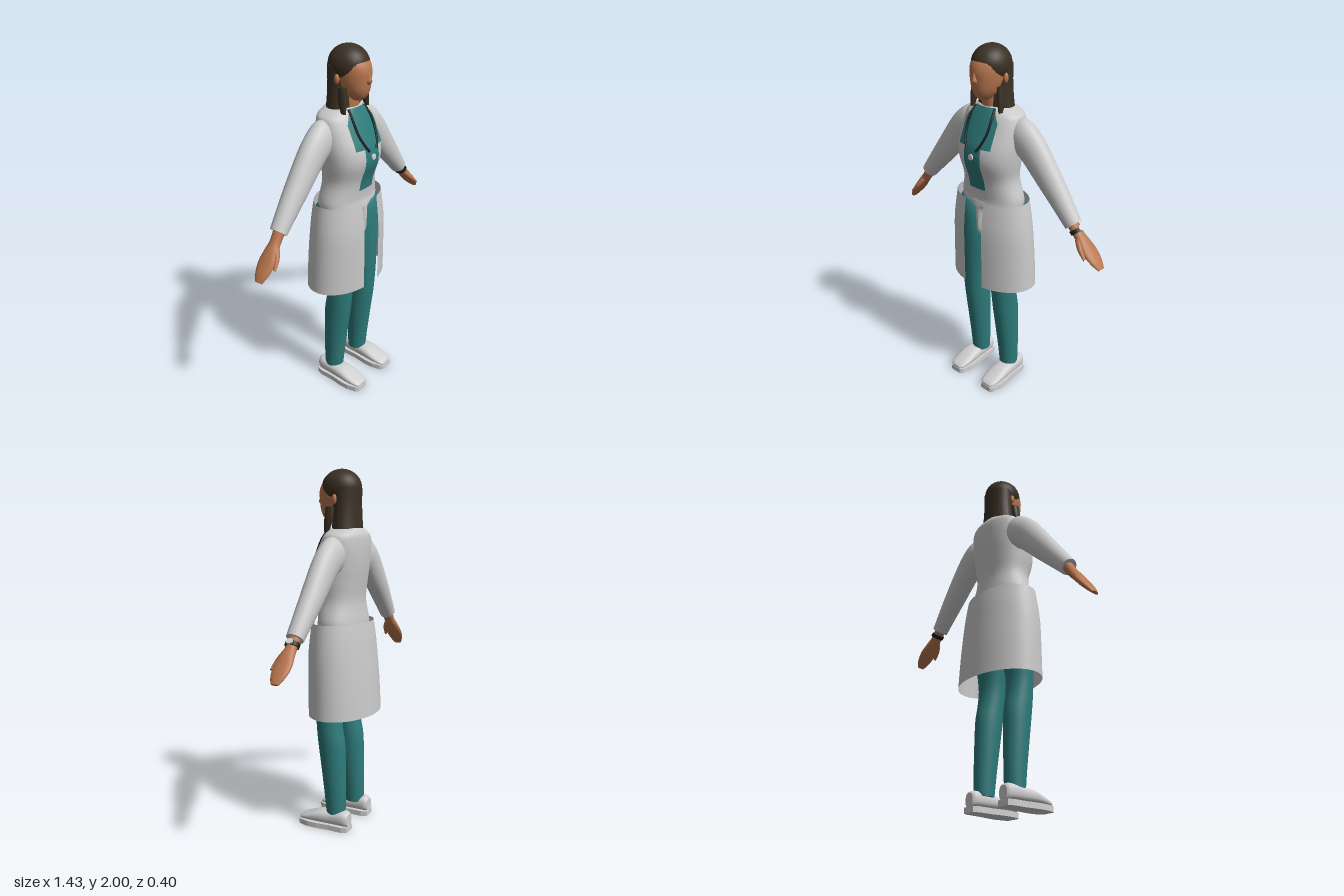
import * as THREE from 'three';

const V = (x, y, z) => new THREE.Vector3(x, y, z);
const mat = (name, color, side = THREE.FrontSide) => {
  const m = new THREE.MeshStandardMaterial({ color, side });
  m.name = name;
  return m;
};

// Catmull-Rom resampling of rows of numbers
function smooth(rows, n = 4) {
  const out = [];
  for (let i = 0; i < rows.length - 1; i++) {
    const [a, b, c, d] = [rows[Math.max(i - 1, 0)], rows[i], rows[i + 1], rows[Math.min(i + 2, rows.length - 1)]];
    for (let k = 0; k < n; k++) {
      const t = k / n;
      out.push(b.map((p, j) => {
        const cubic = 3 * (p - c[j]) + d[j] - a[j];
        const square = 2 * a[j] - 5 * p + 4 * c[j] - d[j];
        return p + 0.5 * t * (c[j] - a[j] + t * (square + t * cubic));
      }));
    }
  }
  out.push(rows[rows.length - 1]);
  return out;
}

// Closed skin over rings of points, with flat end caps
function loft(rings) {
  const n = rings[0].length, pos = [], idx = [];
  rings.forEach(r => r.forEach(p => pos.push(p.x, p.y, p.z)));
  for (let i = 0; i < rings.length - 1; i++) {
    for (let j = 0; j < n; j++) {
      const a = i * n + j, b = i * n + (j + 1) % n;
      idx.push(a, b, a + n, b, b + n, a + n);
    }
  }
  [rings[0], rings[rings.length - 1]].forEach((r, end) => {
    const start = pos.length / 3, c = V(0, 0, 0);
    r.forEach(p => { pos.push(p.x, p.y, p.z); c.addScaledVector(p, 1 / n); });
    pos.push(c.x, c.y, c.z);
    for (let j = 0; j < n; j++) {
      const a = start + j, b = start + (j + 1) % n;
      idx.push(...(end ? [a, b, start + n] : [b, a, start + n]));
    }
  });
  const g = new THREE.BufferGeometry();
  g.setAttribute('position', new THREE.Float32BufferAttribute(pos, 3));
  g.setIndex(idx);
  g.computeVertexNormals();
  return g;
}

const ring = (c, U, W, p = 1, n = 28) => Array.from({ length: n }, (_, i) => {
  const t = i / n * Math.PI * 2, f = v => Math.sign(v) * Math.abs(v) ** p;
  return c.clone().addScaledVector(U, f(Math.cos(t))).addScaledVector(W, f(Math.sin(t)));
});

// Upright form; rows are [y, centre x, half width, front z, back z]
const upright = (rows, p = 1) => loft(smooth(rows).map(([y, x, a, f, b]) =>
  ring(V(x, y, (f + b) / 2), V(a, 0, 0), V(0, 0, (b - f) / 2), p)));

// Limb in the xy plane; rows are [x, y, z, half thickness, half depth]
function limb(rows, s) {
  const r = smooth(rows.map(([x, ...q]) => [x * s, ...q]));
  return loft(r.map(([x, y, z, u, w], i) => {
    const a = r[Math.max(i - 1, 0)], b = r[Math.min(i + 1, r.length - 1)];
    const t = V(b[0] - a[0], b[1] - a[1], 0).normalize();
    return ring(V(x, y, z), V(-t.y * u, t.x * u, 0), V(0, 0, w), 1, 22);
  }));
}

const TORSO = [
  [1.16, 0, 0.195, 0.112, -0.125], [1.2, 0, 0.193, 0.108, -0.122], [1.3, 0, 0.167, 0.122, -0.112],
  [1.4, 0, 0.178, 0.154, -0.122], [1.48, 0, 0.186, 0.15, -0.132], [1.56, 0, 0.187, 0.118, -0.137],
  [1.625, 0, 0.18, 0.088, -0.136], [1.66, 0, 0.16, 0.07, -0.13], [1.69, 0, 0.09, 0.055, -0.11]
];
const P = 0.88;
const torsoRows = smooth(TORSO, 8);

// Front surface depth of the torso at x, y
function chestZ(x, y) {
  const i = Math.max(1, torsoRows.findIndex(r => r[0] >= y));
  const A = torsoRows[i - 1], B = torsoRows[i], t = (y - A[0]) / (B[0] - A[0]);
  const [, , a, f, b] = A.map((v, k) => v + (B[k] - v) * t);
  const q = 2 / P;
  return (f + b) / 2 + (f - b) / 2 * (1 - Math.min(1, Math.abs(x) / a) ** q) ** (1 / q);
}

// Thin shirt panel laid on the chest
function chestPanel(y0, y1, halfWidth) {
  const g = new THREE.PlaneGeometry(1, 1, 14, 20), p = g.attributes.position;
  for (let i = 0; i < p.count; i++) {
    const y = y0 + (p.getY(i) + 0.5) * (y1 - y0), x = p.getX(i) * 2 * halfWidth(y);
    p.setXYZ(i, x, y, chestZ(x, y) + 0.006);
  }
  g.computeVertexNormals();
  return g;
}

// Coat skirt, open at the front
function skirtGeometry() {
  const rows = smooth([[0.67, 0.27, 0.163, -0.2], [0.85, 0.264, 0.165, -0.19], [1.0, 0.256, 0.165, -0.177],
    [1.1, 0.244, 0.157, -0.167], [1.185, 0.23, 0.147, -0.155]]);
  const g = new THREE.PlaneGeometry(1, 1, 48, rows.length - 1), p = g.attributes.position;
  for (let i = 0; i < p.count; i++) {
    const [y, a, f, b] = rows[rows.length - 1 - Math.floor(i / 49)];
    const gap = Math.asin(0.065 / a), t = gap + (p.getX(i) + 0.5) * 2 * (Math.PI - gap);
    p.setXYZ(i, a * Math.sin(t), y, (f + b) / 2 + (f - b) / 2 * Math.cos(t));
  }
  g.computeVertexNormals();
  return g;
}

export function createModel() {
  const model = new THREE.Group(), body = new THREE.Group();
  body.name = 'figure';
  body.position.x = -0.012;
  model.add(body);

  const coat = mat('coat white', 0xcacaca, THREE.DoubleSide), teal = mat('scrubs teal', 0x2e7b7b);
  const skin = mat('skin', 0xb9774f), hair = mat('hair brown', 0x3b3024);
  const black = mat('black rubber', 0x1b1d1e), metal = mat('metal', 0xd6d6d6), shoe = mat('shoe white', 0xcfcfcf);
  const add = (name, geo, m) => {
    const mesh = new THREE.Mesh(geo, m);
    mesh.name = name;
    body.add(mesh);
    return mesh;
  };
  const ball = (name, m, c, r) => {
    const b = add(name, new THREE.SphereGeometry(1, 36, 24), m);
    b.position.set(...c);
    b.scale.set(...r);
  };

  // Torso, pelvis and coat
  add('torso', upright(TORSO, P), coat);
  add('pelvis', upright([[0.955, 0, 0.015, 0.09, -0.07], [1.0, 0, 0.036, 0.118, -0.11], [1.08, 0, 0.045, 0.122, -0.125],
    [1.13, 0, 0.065, 0.12, -0.125], [1.15, 0, 0.14, 0.117, -0.125], [1.175, 0, 0.194, 0.111, -0.124]]), coat);
  add('coatSkirt', skirtGeometry(), coat);
  add('lowerShirt', chestPanel(1.25, 1.49, () => 0.056), teal);
  add('upperShirt', chestPanel(1.49, 1.688, y => y < 1.62 ? 0.11 : 0.11 - (y - 1.62) * 0.66), teal);

  // Head and hair
  add('neck', upright([[1.66, 0, 0.062, 0.052, -0.06], [1.71, 0, 0.058, 0.056, -0.055], [1.8, 0, 0.058, 0.06, -0.05]]), skin);
  add('face', upright([[1.725, 0, 0.022, 0.085, 0.02], [1.745, 0, 0.045, 0.108, 0], [1.78, 0, 0.068, 0.124, -0.04],
    [1.83, 0, 0.083, 0.13, -0.07], [1.885, 0, 0.088, 0.131, -0.08], [1.93, 0, 0.082, 0.109, -0.07], [1.965, 0, 0.05, 0.06, -0.04]]), skin);
  add('nose', upright([[1.812, 0, 0.012, 0.13, 0.1], [1.83, 0, 0.018, 0.145, 0.1], [1.85, 0, 0.013, 0.141, 0.1],
    [1.885, 0, 0.007, 0.13, 0.1]]), skin);
  ball('hairCap', hair, [0, 1.9, 0.005], [0.1, 0.1, 0.111]);
  add('longHair', upright([[1.685, 0, 0.108, 0.045, -0.108], [1.74, 0, 0.101, 0.045, -0.105], [1.82, 0, 0.096, 0.045, -0.103],
    [1.9, 0, 0.097, 0.045, -0.104]]), hair);

  for (const s of [1, -1]) {
    const side = s > 0 ? 'left' : 'right';
    ball(side + 'Ear', skin, [s * 0.094, 1.84, 0], [0.011, 0.026, 0.014]);
    add(side + 'HairLock', limb([[0.088, 1.8, 0.03, 0.016, 0.025], [0.094, 1.73, 0.035, 0.016, 0.025],
      [0.1, 1.67, 0.045, 0.008, 0.014]], s), hair);

    // Arm and hand
    add(side + 'Sleeve', limb([[0.12, 1.575, -0.035, 0.07, 0.045], [0.16, 1.555, -0.033, 0.098, 0.066], [0.245, 1.5, -0.032, 0.088, 0.066],
      [0.373, 1.355, -0.032, 0.071, 0.06], [0.46, 1.255, -0.03, 0.058, 0.053], [0.537, 1.165, -0.027, 0.046, 0.046]], s), coat);
    const hand = [[0.52, 1.185, -0.027, 0.03, 0.034], [0.565, 1.125, -0.027, 0.026, 0.031], [0.6, 1.088, -0.027, 0.024, 0.04],
      [0.64, 1.042, -0.028, 0.021, 0.05], [0.68, 0.998, -0.028, 0.016, 0.042], [0.71, 0.963, -0.028, 0.008, 0.022]];
    const tilt = ([x, y, ...q]) => [x + s * (x - 0.52) * 0.063, y + s * (x - 0.52) * 0.063, ...q];
    add(side + 'Hand', limb(hand.map(tilt), s), skin);
    const thumb = [[0.58, 1.105, -0.005, 0.016, 0.016], [0.61, 1.065, 0.016, 0.014, 0.015], [0.65, 1.02, 0.031, 0.007, 0.008]];
    add(side + 'Thumb', limb(thumb.map(tilt), s), skin);

    // Trouser leg
    const leg = [[0.085, 0.115, 0.052, 0.035, -0.075], [0.2, 0.114, 0.057, 0.047, -0.077], [0.4, 0.112, 0.066, 0.073, -0.074],
      [0.5, 0.111, 0.069, 0.087, -0.07], [0.6, 0.11, 0.072, 0.096, -0.052], [0.7, 0.108, 0.076, 0.102, -0.05], [0.9, 0.1, 0.095, 0.11, -0.09],
      [1.05, 0.104, 0.1, 0.11, -0.12], [1.13, 0.115, 0.09, 0.1, -0.118], [1.165, 0.13, 0.06, 0.085, -0.1]];
    add(side + 'Leg', upright(leg.map(([y, x, ...q]) => [y, s * x, ...q])), teal);

    // Shoe: shaped upper on a flat sole, rows are [z, half width, top y]
    const upper = smooth([[-0.11, 0.028, 0.1], [-0.085, 0.044, 0.113], [0, 0.05, 0.105], [0.07, 0.056, 0.098],
      [0.13, 0.055, 0.076], [0.18, 0.046, 0.055], [0.197, 0.028, 0.042]]);
    add(side + 'Shoe', loft(upper.map(([z, w, y]) =>
      ring(V(s * 0.126, (y + 0.026) / 2, z), V(w, 0, 0), V(0, (y - 0.026) / 2, 0), 0.8))), shoe);
    const edge = [[0.035, -0.112], [0.048, -0.08], [0.05, 0], [0.061, 0.08], [0.062, 0.13], [0.05, 0.185], [0.035, 0.2]];
    const mirrored = edge.map(([x, z]) => [-x, z]).reverse();
    const outline = new THREE.Shape([...edge, ...mirrored].map(([x, z]) => new THREE.Vector2(x, -z)));
    const sole = add(side + 'Sole', new THREE.ExtrudeGeometry(outline, { depth: 0.03, bevelEnabled: false }), shoe);
    sole.rotation.x = -Math.PI / 2;
    sole.position.x = s * 0.126;

    // Stethoscope tube following the chest
    const path = [[0.066, 1.685], [0.074, 1.63], [0.072, 1.57], [0.055, 1.515], [0.03, 1.475]]
      .map(([x, y]) => V(s * x, y, chestZ(x, y) + 0.01));
    add(side + 'StethoscopeTube', new THREE.TubeGeometry(new THREE.CatmullRomCurve3(path), 24, 0.0065, 8), black);
  }

  const disc = (name, r, h, m) => add(name, new THREE.CylinderGeometry(r, r, h, 20), m);
  const chestPiece = disc('stethoscopeDisc', 0.016, 0.014, metal);
  chestPiece.rotation.x = Math.PI / 2;
  chestPiece.position.set(0, 1.44, 0.162);

  // Watch on the left wrist
  add('watchBand', limb([[0.552, 1.148, -0.027, 0.034, 0.039], [0.566, 1.131, -0.027, 0.034, 0.039]], 1), black);
  const dial = disc('watchDial', 0.017, 0.008, metal);
  dial.rotation.z = -0.69;
  dial.position.set(0.585, 1.163, -0.027);
  return model;
}
